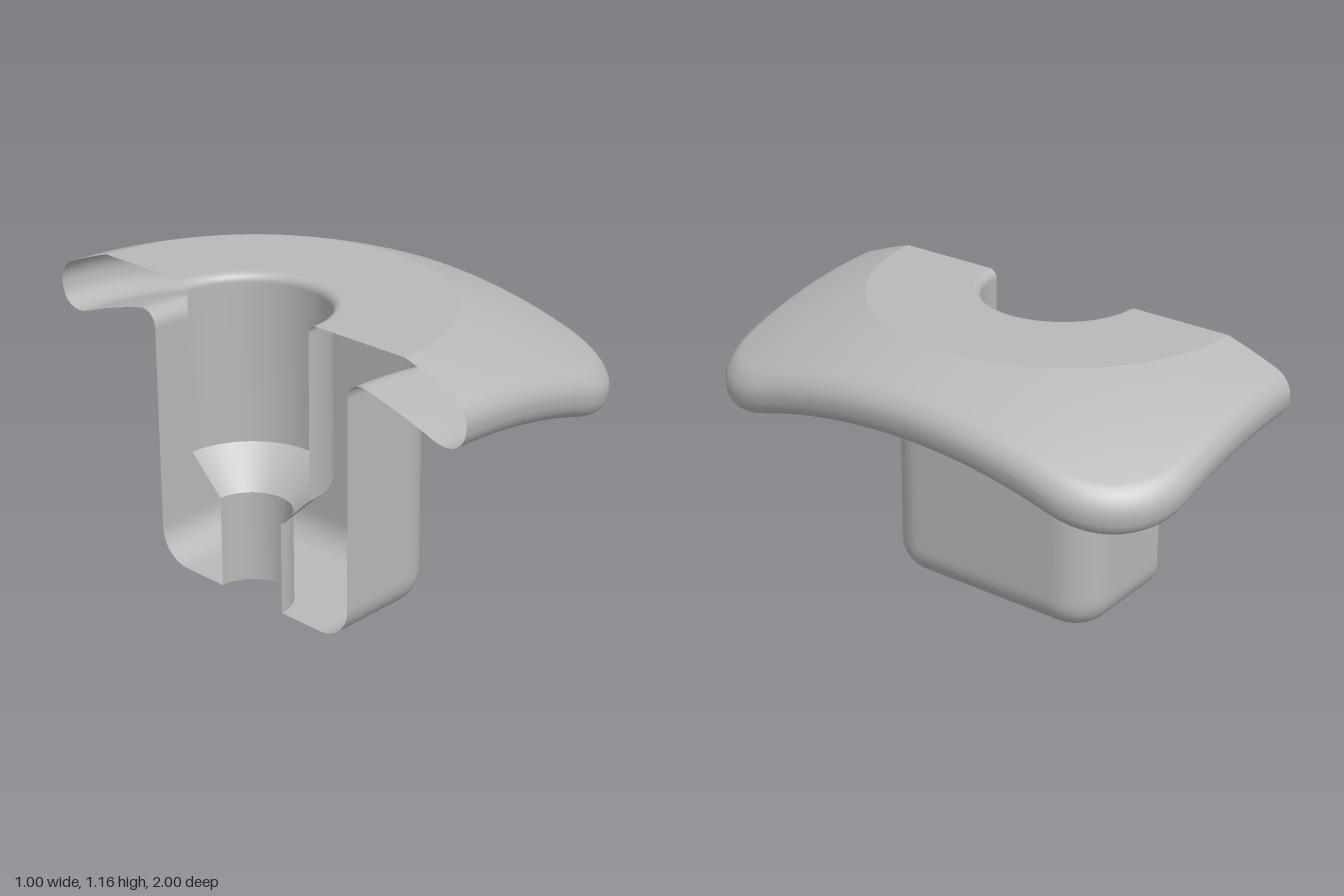
import * as THREE from 'three';

const AXIS_X = -0.5; // the cut plane, which holds the hole's axis
const SEG = 96;

const grey = new THREE.MeshStandardMaterial({ color: 0xb8b8b8, side: THREE.DoubleSide });
grey.name = 'plain grey';

// Distance from the axis to a square of half-size h with corner radius c
function outline(h, c) {
  return (phi) => {
    const p = Math.abs(Math.cos(phi)), q = Math.abs(Math.sin(phi));
    const a = Math.max(p, q), b = Math.min(p, q), k = h - c;
    if (h * b / a <= k) return h / a;
    return k * (a + b) + Math.sqrt(Math.max(0, c * c - k * k * (a - b) ** 2));
  };
}
const circle = (r) => () => r;
const blend = (f, g, t) => (phi) => f(phi) * (1 - t) + g(phi) * t;

// Crown: flat in the middle, spherical outside; the underside is a matching sphere
const FLAT_R = 0.735, TOP = 1.16, R = 2.45;
const sphere = (r) => Math.sqrt(R * R - r * r);
const topY = (r) => TOP + Math.min(0, sphere(r) - sphere(FLAT_R));
const underY = (r) => sphere(r) - 1.387;
// Drop of a quarter-round of radius a at distance d from its vertical side
const round = (a, d) => a - Math.sqrt(Math.max(0, a * a - (a - d) ** 2));

// Half-turn surface through rings; each ring has a radius and a height function
function loft(name, rings) {
  const pos = [], idx = [], n = SEG + 1;
  for (const { radius, y } of rings) {
    for (let j = 0; j <= SEG; j++) {
      const phi = (j / SEG - 0.5) * Math.PI, r = radius(phi);
      pos.push(AXIS_X + r * Math.cos(phi), typeof y === 'number' ? y : y(r), r * Math.sin(phi));
    }
  }
  for (let i = 0; i < rings.length - 1; i++) {
    for (let j = 0; j < SEG; j++) {
      const a = i * n + j;
      idx.push(a, a + 1, a + n, a + 1, a + n + 1, a + n);
    }
  }
  const g = new THREE.BufferGeometry();
  g.setAttribute('position', new THREE.Float32BufferAttribute(pos, 3));
  g.setIndex(idx);
  g.computeVertexNormals();
  const mesh = new THREE.Mesh(g, grey);
  mesh.name = name;
  return mesh;
}

export function createModel() {
  const group = new THREE.Group();
  group.name = 'halfKnob';
  const ring = (radius, y) => ({ radius, y });
  const STEPS = 8;

  // Stepped hole: narrow shaft, cone, wide bore with a rounded lip
  group.add(loft('narrowHole', [ring(circle(0.155), 0), ring(circle(0.155), 0.36)]));
  group.add(loft('holeCone', [ring(circle(0.155), 0.36), ring(circle(0.3), 0.5)]));
  const bore = [ring(circle(0.3), 0.5), ring(circle(0.3), 1.1)];
  const lip = 0.035;
  for (let i = 0; i <= STEPS; i++) {
    const t = (i / STEPS) * Math.PI / 2;
    bore.push(ring(circle(0.3 + lip * (1 - Math.cos(t))), TOP - lip * (1 - Math.sin(t))));
  }
  bore.push(ring(circle(0.36), TOP), ring(circle(FLAT_R), TOP));
  group.add(loft('boreAndFlatTop', bore));

  // Crown: sloped top, rounded rim, underside and fillet into the stem
  const H = 1, C = 0.35, A = 0.06, B = 0.14;
  const rim = (d) => outline(H - d, C - d);
  const S = 0.48, SC = 0.16, F = 0.08;
  const stem = (e) => outline(S + e, SC + e);
  const crown = [];
  for (let i = 0; i < STEPS; i++) crown.push(ring(blend(circle(FLAT_R), rim(A), i / STEPS), topY));
  for (let i = 0; i <= STEPS; i++) {
    const d = A * (1 - Math.sin((i / STEPS) * Math.PI / 2));
    crown.push(ring(rim(d), (r) => topY(r) - round(A, d)));
  }
  for (let i = 0; i <= STEPS; i++) {
    const d = B * (1 - Math.cos((i / STEPS) * Math.PI / 2));
    crown.push(ring(rim(d), (r) => underY(r) + round(B, d)));
  }
  for (let i = 1; i < STEPS; i++) crown.push(ring(blend(rim(B), stem(F), i / STEPS), underY));
  for (let i = 0; i <= STEPS; i++) {
    const e = F * (1 - Math.sin((i / STEPS) * Math.PI / 2));
    crown.push(ring(stem(e), (r) => underY(r) - round(F, e)));
  }
  crown.push(ring(stem(0), 0.8), ring(stem(0), 0.7));
  group.add(loft('crown', crown));

  // Stem with a rounded foot
  const foot = 0.13;
  const leg = [ring(stem(0), 0.7), ring(stem(0), foot + 0.03)];
  for (let i = 0; i <= STEPS; i++) {
    const d = foot * (1 - Math.cos((i / STEPS) * Math.PI / 2));
    leg.push(ring(stem(-d), round(foot, d)));
  }
  leg.push(ring(blend(stem(-foot), circle(0.155), 0.15), 0), ring(circle(0.155), 0));
  group.add(loft('stem', leg));

  return group;
}
